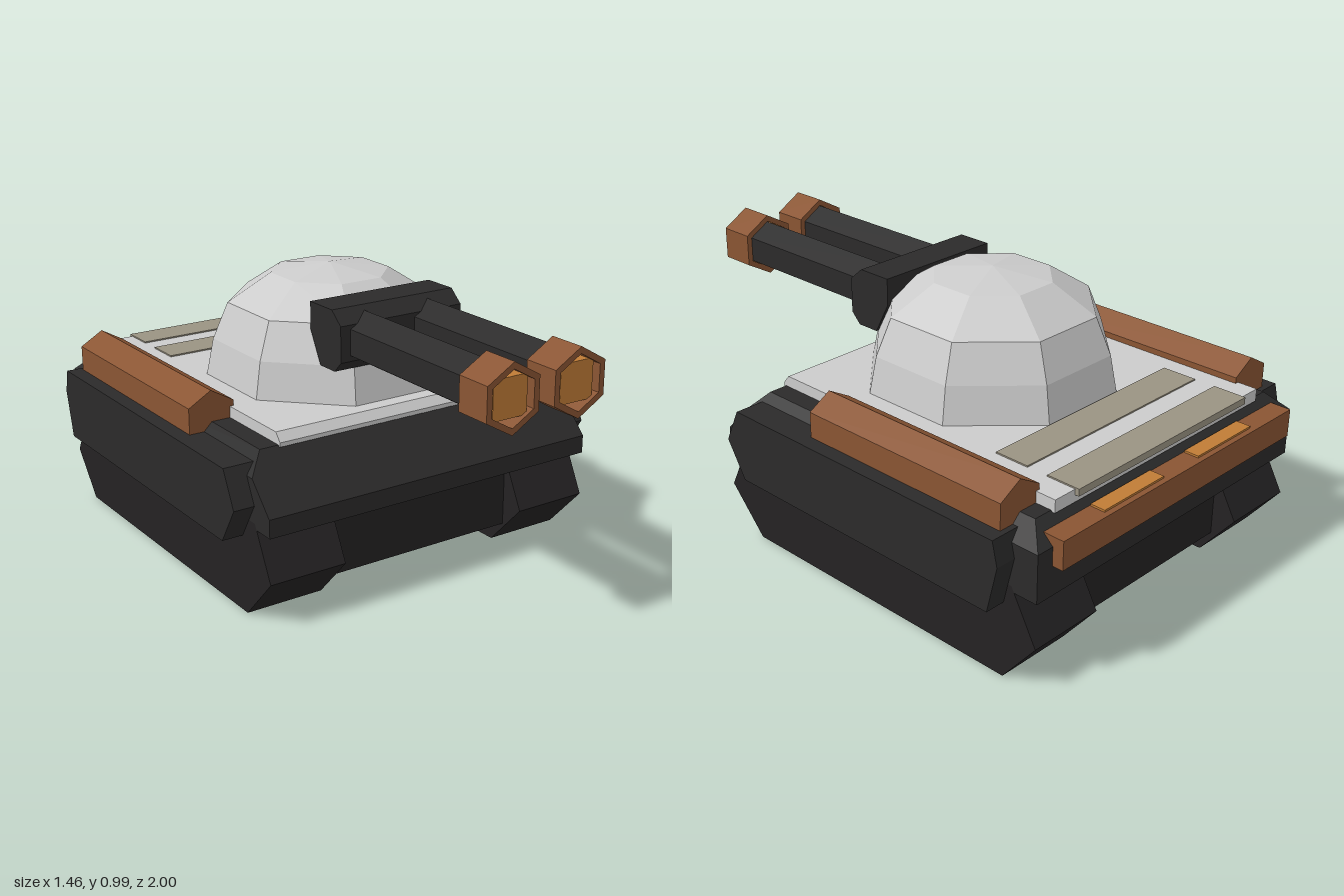
import * as THREE from 'three';

const mat = (color) => new THREE.MeshStandardMaterial({ color, flatShading: true });
const DARK = mat(0x2b2a2a), TRACK = mat(0x242223), BROWN = mat(0x8a5533), ORANGE = mat(0xc07c36),
  GREY = mat(0xcccccc), STRIP = mat(0x9a9382);

export function createModel() {
  const model = new THREE.Group();

  const add = (name, geometry, material) => {
    const mesh = new THREE.Mesh(geometry, material);
    mesh.name = name;
    model.add(mesh);
    return mesh;
  };
  // Box given by its limits on each axis
  const box = (name, material, [x0, x1], [y0, y1], [z0, z1]) =>
    add(name, new THREE.BoxGeometry(x1 - x0, y1 - y0, z1 - z0)
      .translate((x0 + x1) / 2, (y0 + y1) / 2, (z0 + z1) / 2), material);
  // Side outline of [z, y] points, extruded across x
  const sideProfile = (name, material, points, x0, x1) => {
    const shape = new THREE.Shape(points.map(([z, y]) => new THREE.Vector2(-z, y)));
    const g = new THREE.ExtrudeGeometry(shape, { depth: x1 - x0, bevelEnabled: false });
    return add(name, g.rotateY(Math.PI / 2).translate(x0, 0, 0), material);
  };
  // Hexagon outline with a corner at the top
  const hexagon = (r, Type = THREE.Shape) => new Type(Array.from({ length: 6 }, (_, i) => {
    const a = Math.PI / 2 + i * Math.PI / 3;
    return new THREE.Vector2(r * Math.cos(a), r * Math.sin(a));
  }));
  // Hexagonal prism along z, optionally hollow
  const hexBar = (name, material, r, x, y, z0, z1, hole = 0) => {
    const shape = hexagon(r);
    if (hole) shape.holes.push(hexagon(hole, THREE.Path));
    const g = new THREE.ExtrudeGeometry(shape, { depth: z1 - z0, bevelEnabled: false });
    return add(name, g.translate(x, y, z0), material);
  };
  // Stacked rectangles [y, halfWidth, zBack, zFront] joined into a closed solid
  const layered = (name, material, layers) => {
    const pos = [], index = [], n = layers.length;
    for (const [y, w, b, f] of layers) pos.push(-w, y, f, w, y, f, w, y, b, -w, y, b);
    for (let l = 0; l < n - 1; l++) for (let i = 0; i < 4; i++) {
      const a = l * 4 + i, c = l * 4 + (i + 1) % 4;
      index.push(a, c, c + 4, a, c + 4, a + 4);
    }
    const t = (n - 1) * 4;
    index.push(0, 2, 1, 0, 3, 2, t, t + 1, t + 2, t, t + 2, t + 3);
    const g = new THREE.BufferGeometry();
    g.setAttribute('position', new THREE.Float32BufferAttribute(pos, 3));
    g.setIndex(index);
    const flat = g.toNonIndexed();
    flat.computeVertexNormals();
    return add(name, flat, material);
  };

  // Hull with sloped front and bevelled upper edges
  layered('hull', DARK, [
    [0.32, 0.655, -0.96, 0.48], [0.385, 0.655, -0.96, 0.48],
    [0.49, 0.655, -0.96, 0.38], [0.555, 0.59, -0.89, 0.32],
  ]);
  box('belly', TRACK, [-0.37, 0.37], [0.08, 0.33], [-0.87, 0.39]);

  // Deck plate with two vent strips
  layered('deck', GREY, [
    [0.55, 0.52, -0.905, 0.33], [0.565, 0.52, -0.905, 0.33], [0.595, 0.52, -0.905, 0.305],
  ]);
  for (const [z0, z1] of [[-0.92, -0.795], [-0.715, -0.585]])
    box('ventStrip', STRIP, [-0.43, 0.43], [0.575, 0.6], [z0, z1]);

  // Rear bumper with a pair of lights
  box('rearBumper', BROWN, [-0.59, 0.59], [0.425, 0.525], [-1, -0.92]);

  for (const s of [-1, 1]) {
    const span = (a, b) => (s > 0 ? [a, b] : [-b, -a]);
    box('rearLight', ORANGE, span(0.09, 0.38), [0.5, 0.532], [-0.98, -0.925]);

    // Track and side skirt
    sideProfile('track', TRACK, [[0.33, 0], [0.48, 0.16], [0.39, 0.34], [-0.86, 0.34],
      [-0.96, 0.16], [-0.83, 0]], ...span(0.37, 0.655));
    sideProfile('sideSkirt', DARK, [[0.39, 0.4], [0.33, 0.525], [-0.85, 0.525],
      [-0.87, 0.44], [-0.83, 0.27], [0.31, 0.27]], ...span(0.6, 0.73));

    // Rail along the deck edge
    hexBar('sideRail', BROWN, 0.098, s * 0.59, 0.567, -0.83, 0.01);

    // Gun barrel, muzzle ring and glowing core
    hexBar('barrel', DARK, 0.09, s * 0.13, 0.83, 0.2, 0.9);
    hexBar('muzzle', BROWN, 0.115, s * 0.13, 0.83, 0.87, 1, 0.092);
    box('muzzleCore', ORANGE, span(0.065, 0.195), [0.765, 0.895], [0.88, 0.985]);
  }

  // Eight-sided turret dome
  const dome = [[0.45, 0.59], [0.423, 0.725], [0.368, 0.855], [0.213, 0.955], [0, 0.985]];
  add('turretDome', new THREE.LatheGeometry(dome.map(([r, y]) => new THREE.Vector2(r, y)),
    8, Math.PI / 8).translate(0, 0, -0.165), GREY);

  // Block that carries the barrels
  sideProfile('gunMount', DARK, [[0.272, 0.89], [0.22, 0.935], [0.09, 0.935], [0.09, 0.84],
    [0.15, 0.727], [0.235, 0.727], [0.272, 0.765]], -0.247, 0.247);

  return model;
}
